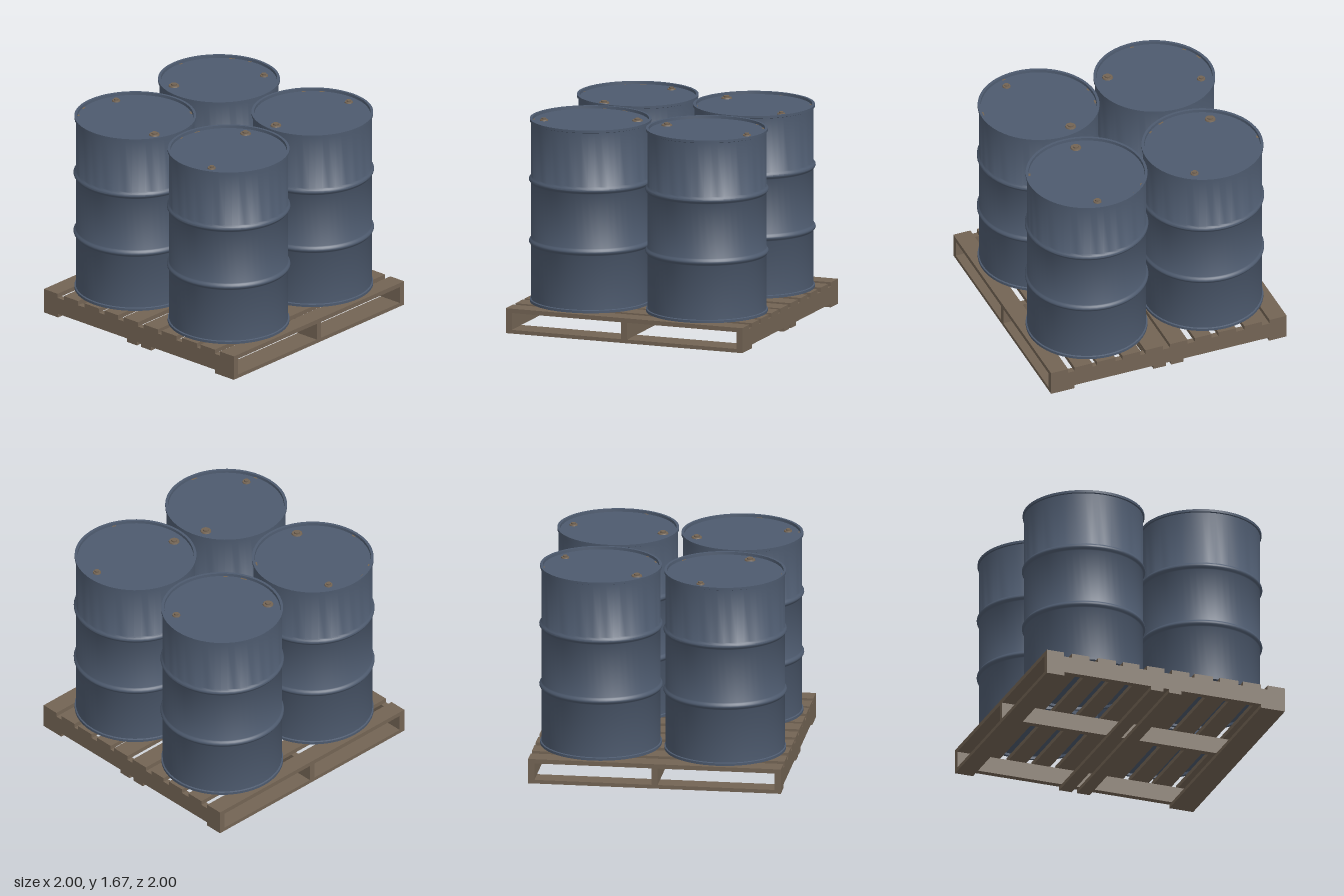
import * as THREE from 'three';
import { toCreasedNormals } from 'three/addons/utils/BufferGeometryUtils.js';

const steel = new THREE.MeshStandardMaterial({ name: 'blue steel', color: 0x4d5a6e });
const wood = new THREE.MeshStandardMaterial({ name: 'brown wood', color: 0x736454 });
const rust = new THREE.MeshStandardMaterial({ name: 'rust brown', color: 0x736454 });

function add(parent, name, geometry, material, x = 0, y = 0, z = 0) {
  const mesh = new THREE.Mesh(geometry, material);
  mesh.name = name;
  mesh.position.set(x, y, z);
  parent.add(mesh);
  return mesh;
}

function createPallet() {
  const pallet = new THREE.Group();
  pallet.name = 'pallet';

  // Boards running across the full width, given by their z range
  const boards = (name, ranges, y0, y1) => ranges.forEach(([z0, z1]) =>
    add(pallet, name, new THREE.BoxGeometry(2, y1 - y0, z1 - z0), wood, 0, (y0 + y1) / 2, (z0 + z1) / 2));
  boards('topBoard', [
    [-1, -0.855], [-0.79, -0.64], [-0.57, -0.42], [-0.36, -0.22], [-0.16, -0.01],
    [0.05, 0.2], [0.24, 0.395], [0.455, 0.61], [0.65, 0.8], [0.855, 1],
  ], 0.165, 0.2);
  boards('bottomBoard', [[-1, -0.85], [-0.125, -0.02], [0.025, 0.13], [0.8, 1]], 0, 0.03);

  // Stringers from front to back
  for (const x of [-0.975, 0, 0.975]) {
    add(pallet, 'stringer', new THREE.BoxGeometry(0.05, 0.135, 2), wood, x, 0.0975, 0);
  }
  return pallet;
}

// Drum profile: recessed base, lower chime, two rolling hoops, upper chime, recessed lid
function drumGeometry() {
  const R = 0.467, RIM = 0.478, H = 1.465, LID = 1.443;
  const pts = [[0, 0.02], [0.455, 0.02], [0.455, 0], [RIM, 0], [RIM, 0.02], [R, 0.024]];
  for (const y of [0.485, 0.98]) {
    for (let i = 0; i <= 8; i++) {
      const t = i / 8;
      pts.push([R + 0.018 * Math.sin(Math.PI * t) ** 1.3, y + (t - 0.5) * 0.06]);
    }
  }
  pts.push([R, H - 0.024], [RIM, H - 0.02], [RIM, H], [0.457, H], [0.455, LID], [0, LID]);
  const lathe = new THREE.LatheGeometry(pts.map(p => new THREE.Vector2(...p)), 56);
  return { body: toCreasedNormals(lathe, 0.7), lidY: LID };
}

// Bung: wide flange with a smaller plug on top
function addBung(drum, name, r, x, y, z) {
  const bung = new THREE.Group();
  bung.name = name;
  bung.position.set(x, y, z);
  add(bung, 'flange', new THREE.CylinderGeometry(r * 0.92, r, 0.009, 16), rust, 0, 0.0045, 0);
  add(bung, 'plug', new THREE.CylinderGeometry(r * 0.55, r * 0.55, 0.012, 12), rust, 0, 0.015, 0);
  drum.add(bung);
}

export function createModel() {
  const model = new THREE.Group();
  model.name = 'drumsOnPallet';
  model.add(createPallet());

  const { body, lidY } = drumGeometry();
  // Each drum: position, direction of the large bung, worn spots around the lid edge (angles from +x to +z)
  const drums = [
    { name: 'backRightDrum', x: -0.49, z: -0.495, bung: 1.99, worn: [-2.2, -1.86, 3.13, 0.62] },
    { name: 'backLeftDrum', x: 0.493, z: -0.495, bung: -2.58, worn: [-1.46, -0.5, -0.16, 2.72, 2.39] },
    { name: 'frontRightDrum', x: -0.49, z: 0.488, bung: -0.36, worn: [-1.7, -1.31, 2.88, 1.74] },
    { name: 'frontLeftDrum', x: 0.493, z: 0.488, bung: -2.98, worn: [-0.88, -0.56, 1.95] },
  ];
  for (const d of drums) {
    const drum = new THREE.Group();
    drum.name = d.name;
    drum.position.set(d.x, 0.2, d.z);
    add(drum, 'drumBody', body, steel);
    const c = 0.367 * Math.cos(d.bung), s = 0.367 * Math.sin(d.bung);
    addBung(drum, 'largeBung', 0.043, c, lidY, s);
    addBung(drum, 'smallBung', 0.033, -c, lidY, -s);
    // Thin rust flecks lying on the lid beside the rim
    d.worn.forEach((a, i) => {
      const arc = 0.07 + 0.04 * (i % 2);
      const fleck = new THREE.RingGeometry(0.44, 0.454, 6, 1, -a - arc / 2, arc);
      fleck.rotateX(-Math.PI / 2);
      add(drum, 'rustFleck', fleck, rust, 0, lidY + 0.002, 0);
    });
    model.add(drum);
  }
  return model;
}
